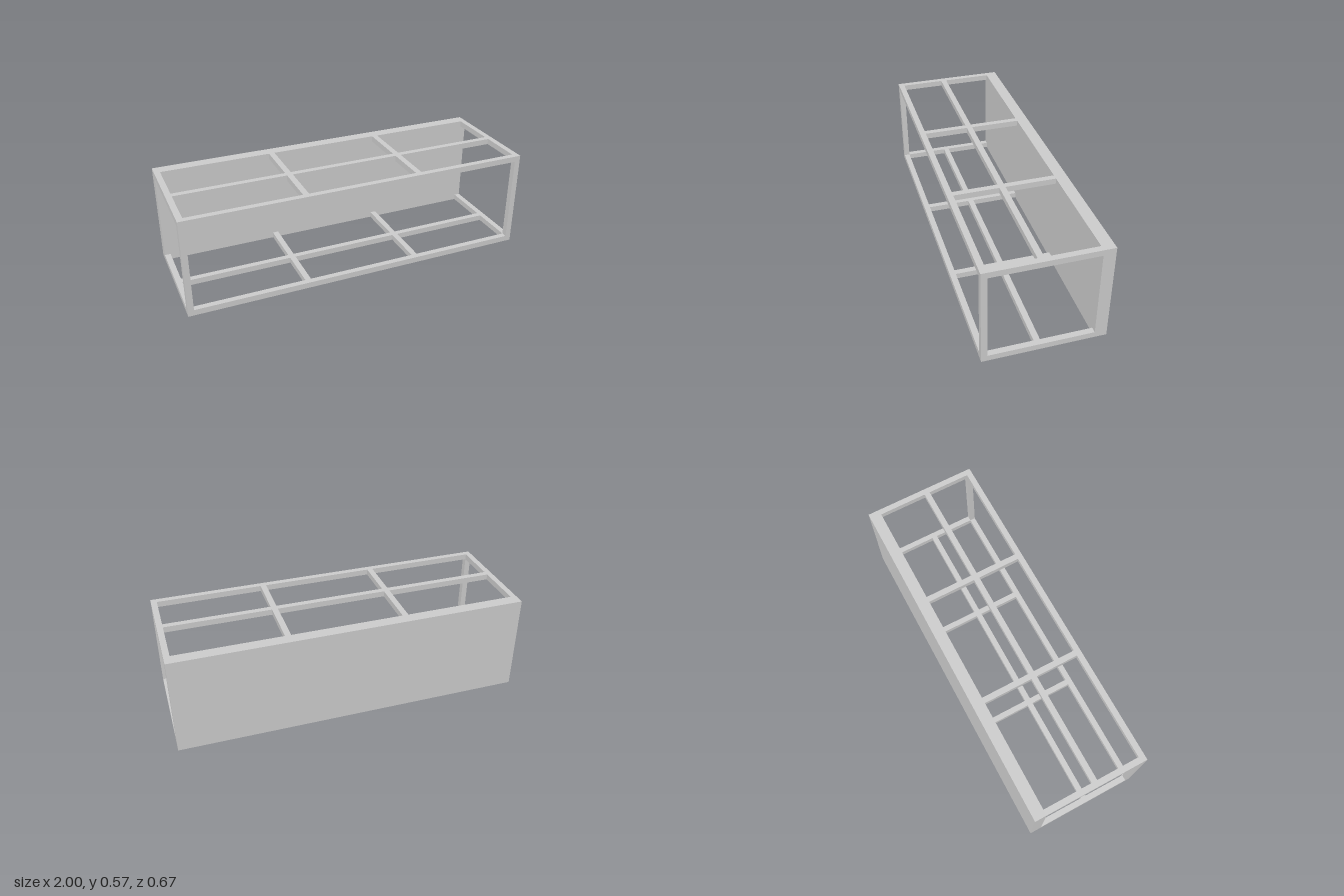
import * as THREE from 'three';

// One module is the thickness of a frame bar.
const U = 1 / 30;
const LENGTH = 60, HEIGHT = 17, DEPTH = 20, PANEL = 2;

export function createModel() {
  const model = new THREE.Group();
  model.name = 'openFrameRack';
  const material = new THREE.MeshStandardMaterial({ color: 0xcccccc });

  // Box given by its minimum corner and size, in bar thicknesses
  function addBox(parent, name, x, y, z, w, h, d) {
    const mesh = new THREE.Mesh(new THREE.BoxGeometry(w * U, h * U, d * U), material);
    mesh.position.set((x + w / 2) * U, (y + h / 2) * U, (z + d / 2) * U);
    mesh.name = name;
    parent.add(mesh);
  }

  const left = -LENGTH / 2, back = -DEPTH / 2, front = DEPTH / 2;
  const inner = back + PANEL;

  // Solid back panel
  addBox(model, 'backPanel', left, 0, back, LENGTH, HEIGHT, PANEL);

  // Front corner posts
  for (const [name, x] of [['rightPost', left], ['leftPost', -left - 1]]) {
    addBox(model, name, x, 1, front - 1, 1, HEIGHT - 2, 1);
  }

  // Matching bottom and top grids
  const crossX = [left, -10, 10, -left - 1];
  for (const [name, y] of [['bottomFrame', 0], ['topFrame', HEIGHT - 1]]) {
    const frame = new THREE.Group();
    frame.name = name;
    model.add(frame);

    addBox(frame, 'frontRail', left, y, front - 1, LENGTH, 1, 1);
    crossX.forEach((x, i) => {
      addBox(frame, 'crossBar', x, y, inner, 1, 1, front - 1 - inner);
      // Middle rail segment spanning to the next cross bar
      if (i < crossX.length - 1) {
        addBox(frame, 'middleRail', x + 1, y, 0.5, crossX[i + 1] - x - 1, 1, 1);
      }
    });
  }
  return model;
}
